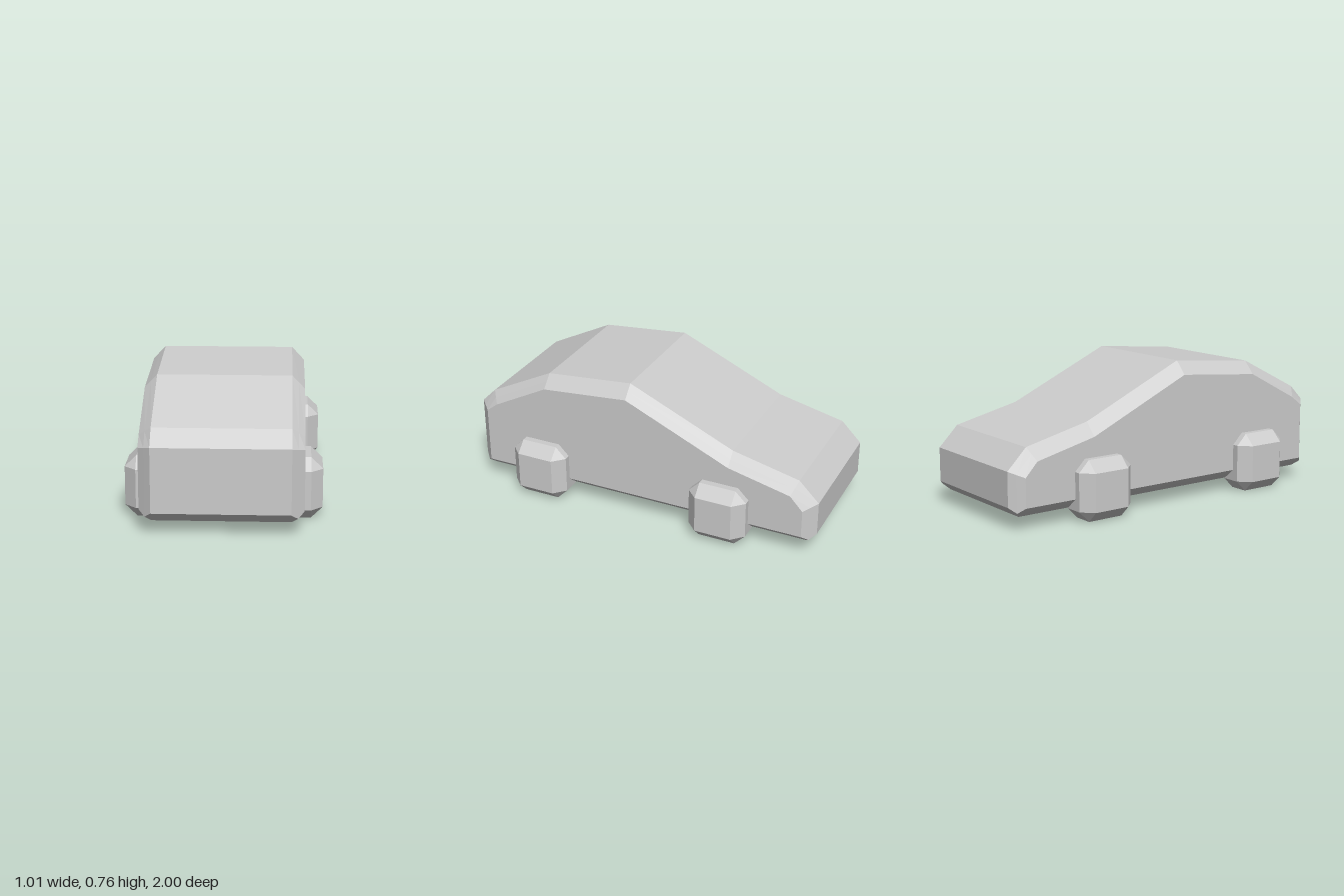
import * as THREE from 'three';
import { ConvexGeometry } from 'three/addons/geometries/ConvexGeometry.js';

const material = new THREE.MeshStandardMaterial({ color: 0xcccccc, flatShading: true });

// Lengthwise [z, y] profiles, from the front bumper over the roof to the underside.
const centreProfile = [
  [1, 0.12], [1, 0.455], [0.92, 0.535], [0.56, 0.717], [0.07, 0.762], [-0.52, 0.5],
  [-0.89, 0.415], [-1, 0.305], [-1, 0.12], [-0.94, 0.065], [0.94, 0.065],
];
const sideProfile = [
  [0.935, 0.12], [0.935, 0.435], [0.87, 0.485], [0.56, 0.648], [0.07, 0.692], [-0.52, 0.43],
  [-0.865, 0.35], [-0.935, 0.275], [-0.935, 0.12], [-0.935, 0.12], [0.935, 0.12],
];
// Halfway along the bevel; the lower corners collapse to one point each.
const bevelProfile = centreProfile.map(([z, y], i) => {
  if (y <= 0.12) return [Math.sign(z) * 0.9675, 0.0925];
  return [(z + sideProfile[i][0]) / 2, (y + sideProfile[i][1]) / 2];
});

function createBody() {
  const sections = [
    [-0.41, sideProfile], [-0.378, bevelProfile], [-0.345, centreProfile],
    [0.345, centreProfile], [0.378, bevelProfile], [0.41, sideProfile],
  ];
  const n = centreProfile.length;
  const positions = [];
  const index = [];
  for (const [x, profile] of sections) {
    for (const [z, y] of profile) positions.push(x, y, z);
  }
  // Skin between neighbouring sections
  for (let s = 0; s < sections.length - 1; s++) {
    for (let i = 0; i < n; i++) {
      const j = (i + 1) % n;
      const a = s * n + i, b = s * n + j, c = a + n, d = b + n;
      index.push(a, c, b, b, c, d);
    }
  }
  // Flat sides, fanned from a point inside the profile
  const hub = positions.length / 3;
  positions.push(-0.41, 0.2, 0, 0.41, 0.2, 0);
  const last = (sections.length - 1) * n;
  for (let i = 0; i < n; i++) {
    const j = (i + 1) % n;
    index.push(hub, i, j, hub + 1, last + j, last + i);
  }
  const geometry = new THREE.BufferGeometry();
  geometry.setAttribute('position', new THREE.Float32BufferAttribute(positions, 3));
  geometry.setIndex(index);
  const flat = geometry.toNonIndexed();
  flat.computeVertexNormals();
  return flat;
}

// Chamfered block wheel: octagonal section with a smaller square outer face
function createWheel(side) {
  const r = 0.162, f = 0.102;
  const points = [];
  for (const sy of [-1, 1]) {
    for (const sz of [-1, 1]) {
      for (const x of [0.34, 0.445]) {
        points.push(new THREE.Vector3(side * x, sy * r, sz * f));
        points.push(new THREE.Vector3(side * x, sy * f, sz * r));
      }
      points.push(new THREE.Vector3(side * 0.506, sy * f, sz * f));
    }
  }
  return new ConvexGeometry(points);
}

export function createModel() {
  const car = new THREE.Group();
  car.name = 'car';

  const body = new THREE.Mesh(createBody(), material);
  body.name = 'body';
  car.add(body);

  for (const [end, z] of [['front', 0.587], ['rear', -0.478]]) {
    for (const [label, side] of [['Left', 1], ['Right', -1]]) {
      const wheel = new THREE.Mesh(createWheel(side), material);
      wheel.name = `${end}${label}Wheel`;
      wheel.position.set(0, 0.162, z);
      car.add(wheel);
    }
  }
  return car;
}
